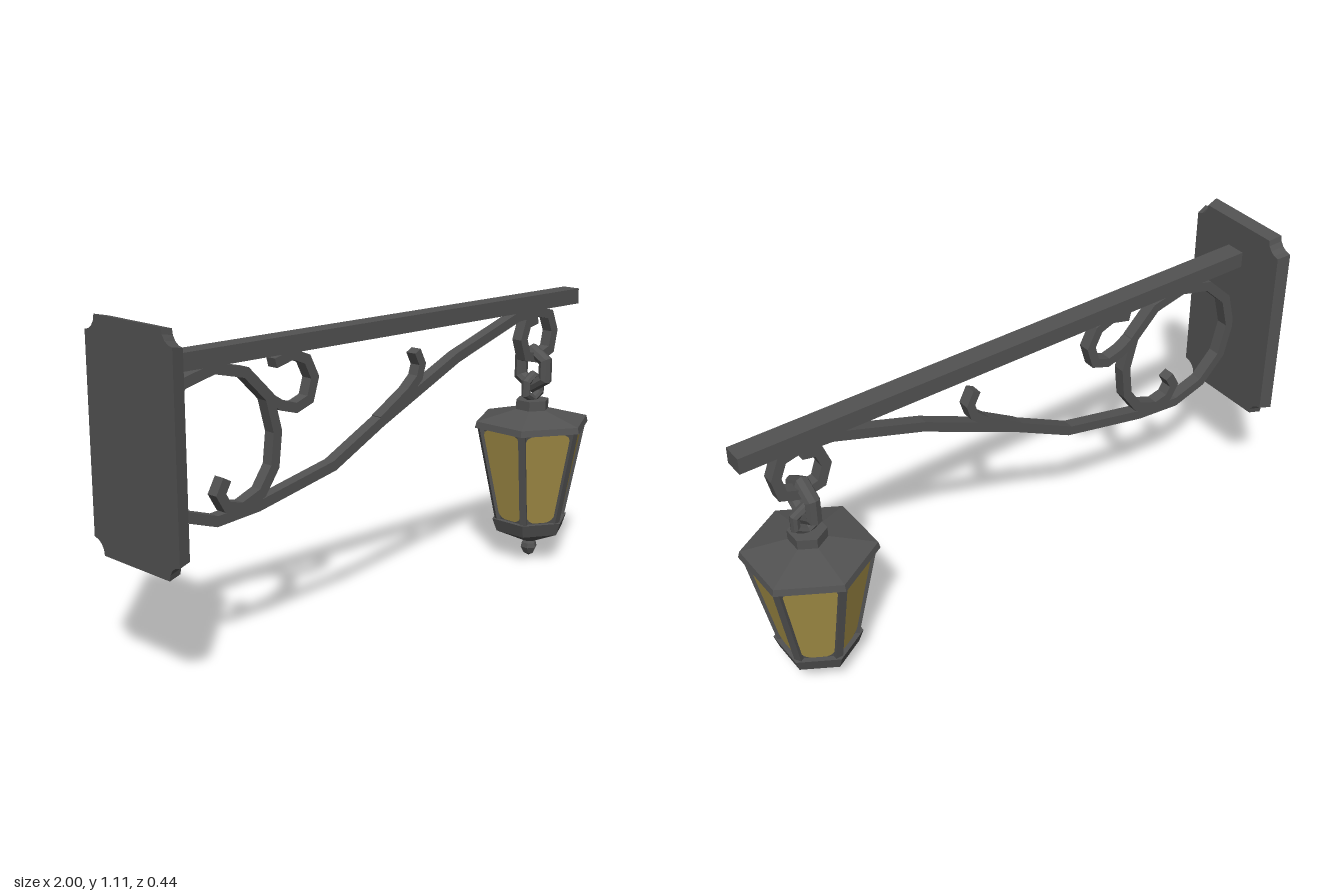
import * as THREE from 'three';

const metal = new THREE.MeshStandardMaterial({ color: 0x525252 });
metal.name = 'dark iron';
const amber = new THREE.MeshStandardMaterial({ color: 0xa48f47 });
amber.name = 'amber glass';

const LAMP_X = 0.79;

function add(parent, name, geometry, material = metal, x = 0, y = 0, z = 0) {
  const flat = geometry.index ? geometry.toNonIndexed() : geometry;
  flat.computeVertexNormals();
  const mesh = new THREE.Mesh(flat, material);
  mesh.name = name;
  mesh.position.set(x, y, z);
  parent.add(mesh);
  return mesh;
}

// Rectangular bar swept along a flat path with mitred joints
function sweptBar(path, thick = 0.034, wide = 0.042) {
  const p = path.map(([x, y]) => new THREE.Vector2(x, y));
  const verts = [], index = [];
  p.forEach((pt, i) => {
    const d0 = pt.clone().sub(p[Math.max(i - 1, 0)]).normalize();
    const d1 = p[Math.min(i + 1, p.length - 1)].clone().sub(pt).normalize();
    const t = d0.clone().add(d1).normalize();
    const cos = Math.max(0.7, t.dot(d1.lengthSq() ? d1 : d0));
    const nx = -t.y * thick / 2 / cos, ny = t.x * thick / 2 / cos;
    for (const [s, w] of [[1, 1], [1, -1], [-1, -1], [-1, 1]])
      verts.push(pt.x + s * nx, pt.y + s * ny, w * wide / 2);
    if (i === 0) return;
    for (let k = 0; k < 4; k++) {
      const a = (i - 1) * 4 + k, b = (i - 1) * 4 + (k + 1) % 4;
      index.push(a, a + 4, b, b, a + 4, b + 4);
    }
  });
  const e = (p.length - 1) * 4;
  index.push(0, 1, 2, 0, 2, 3, e, e + 2, e + 1, e, e + 3, e + 2);
  const g = new THREE.BufferGeometry();
  g.setAttribute('position', new THREE.Float32BufferAttribute(verts, 3));
  g.setIndex(index);
  return g;
}

// Wall plate with scooped corners and slightly tapered sides
function wallPlateGeometry() {
  const w = 0.212, h = 0.368, r = 0.05, s = new THREE.Shape();
  const corners = [[1, 1, 1.5], [-1, 1, 2], [-1, -1, 0.5], [1, -1, 1]];
  const starts = [-0.5, 0, 0.5, 1];
  corners.forEach(([cx, cy], i) => {
    for (let k = 0; k <= 4; k++) {
      const a = Math.PI * (starts[i] - k / 8);
      const x = cx * w + r * Math.cos(a), y = cy * h + r * Math.sin(a);
      if (i === 0 && k === 0) s.moveTo(x, y); else s.lineTo(x, y);
    }
  });
  s.closePath();
  const g = new THREE.ExtrudeGeometry(s, { depth: 0.045, bevelEnabled: false });
  const pos = g.attributes.position;
  for (let i = 0; i < pos.count; i++)
    if (pos.getZ(i) > 0.02) pos.setXY(i, pos.getX(i) * 0.945, pos.getY(i) * 0.975);
  return g.rotateY(Math.PI / 2);
}

// Glass pane: a trapezoid with clipped, rounded corners
function paneGeometry(bottom, top, height) {
  const half = v => bottom + (top - bottom) * v / height;
  const c = 0.026, m = 0.004, side = [];
  side.push([half(m) - c, m], [half(m) - c * 0.35, m + c * 0.35], [half(m + c), m + c]);
  const t = height - m;
  side.push([half(t - c), t - c], [half(t) - c * 0.35, t - c * 0.35], [half(t) - c, t]);
  const pts = [...side, ...side.map(([x, y]) => [-x, y]).reverse()];
  return new THREE.ShapeGeometry(new THREE.Shape(pts.map(q => new THREE.Vector2(...q))));
}

function createLantern() {
  const lantern = new THREE.Group();
  lantern.name = 'lantern';
  lantern.position.x = LAMP_X;
  const hex = (name, rTop, rBottom, y0, y1) =>
    add(lantern, name, new THREE.CylinderGeometry(rTop, rBottom, y1 - y0, 6), metal, 0, (y0 + y1) / 2, 0);

  hex('roofCap', 0.063, 0.063, 0.57, 0.607);
  hex('roof', 0.062, 0.216, 0.533, 0.572);
  hex('roofRim', 0.216, 0.222, 0.51, 0.533);
  hex('lanternBody', 0.2, 0.125, 0.15, 0.512);
  hex('baseBand', 0.147, 0.13, 0.107, 0.155);
  hex('baseCone', 0.13, 0.022, 0.06, 0.107);
  const finial = [[0, 0], [0.02, 0.012], [0.032, 0.035], [0.028, 0.052], [0.014, 0.068]];
  add(lantern, 'finial', new THREE.LatheGeometry(finial.map(q => new THREE.Vector2(...q)), 6));

  const y0 = 0.155, height = 0.355;
  const apothem0 = 0.126 * Math.cos(Math.PI / 6), apothem1 = 0.2 * Math.cos(Math.PI / 6);
  const slant = Math.hypot(height, apothem1 - apothem0);
  for (let i = 0; i < 6; i++) {
    // Pane on each face
    const face = new THREE.Group();
    face.name = 'glassSide';
    face.rotation.y = Math.PI / 6 + i * Math.PI / 3;
    lantern.add(face);
    const pane = add(face, 'glassPane', paneGeometry(0.052, 0.088, slant), amber, 0, y0, apothem0 + 0.003);
    pane.rotation.x = Math.atan2(apothem1 - apothem0, height);

    // Post on each corner
    const corner = new THREE.Group();
    corner.name = 'cornerPost';
    corner.rotation.y = i * Math.PI / 3;
    lantern.add(corner);
    const post = add(corner, 'post', new THREE.BoxGeometry(0.026, 0.364, 0.018), metal, 0, y0 + height / 2, 0.162);
    post.rotation.x = Math.atan2(0.074, height);
  }
  return lantern;
}

export function createModel() {
  const model = new THREE.Group();
  model.name = 'hangingWallLantern';

  add(model, 'wallPlate', wallPlateGeometry(), metal, -1, 0.743, 0);
  add(model, 'topBeam', new THREE.BoxGeometry(1.99, 0.056, 0.07), metal, 0.005, 0.972, 0);

  // Long scroll: inner curl, big circle, sloping arm, end ring
  add(model, 'mainScroll', sweptBar([
    [-0.67, 0.585], [-0.695, 0.54], [-0.67, 0.497], [-0.61, 0.483], [-0.53, 0.515],
    [-0.478, 0.59], [-0.465, 0.7], [-0.495, 0.815], [-0.585, 0.905], [-0.706, 0.934],
    [-0.823, 0.905], [-0.912, 0.82], [-0.942, 0.705], [-0.912, 0.585], [-0.828, 0.498],
    [-0.71, 0.46], [-0.545, 0.475], [-0.225, 0.545], [-0.01, 0.655], [0.36, 0.823],
    [0.68, 0.928], [0.79, 0.934], [0.857, 0.918], [0.882, 0.855], [0.866, 0.787],
    [0.797, 0.762], [0.733, 0.776], [0.711, 0.84], [0.733, 0.898], [0.786, 0.908],
  ]));
  add(model, 'upperCurl', sweptBar([
    [-0.492, 0.81], [-0.445, 0.78], [-0.385, 0.763], [-0.328, 0.783], [-0.307, 0.85],
    [-0.338, 0.913], [-0.396, 0.935], [-0.468, 0.917],
  ], 0.032));
  add(model, 'middleCurl', sweptBar([
    [-0.01, 0.66], [0.12, 0.738], [0.168, 0.78], [0.182, 0.825], [0.158, 0.872],
  ], 0.03));

  // Two interlocked chain links
  const upper = add(model, 'upperLink', new THREE.TorusGeometry(0.066, 0.026, 8, 6), metal, LAMP_X, 0.723, 0);
  upper.rotation.set(Math.PI / 2, Math.PI / 2, 0, 'YXZ');
  upper.rotation.set(0, Math.PI / 2, 0);
  upper.geometry.rotateZ(Math.PI / 6);
  const lower = add(model, 'lowerLink', new THREE.TorusGeometry(0.044, 0.018, 8, 6), metal, LAMP_X, 0.652, 0);
  lower.geometry.rotateZ(Math.PI / 6);

  model.add(createLantern());
  return model;
}
